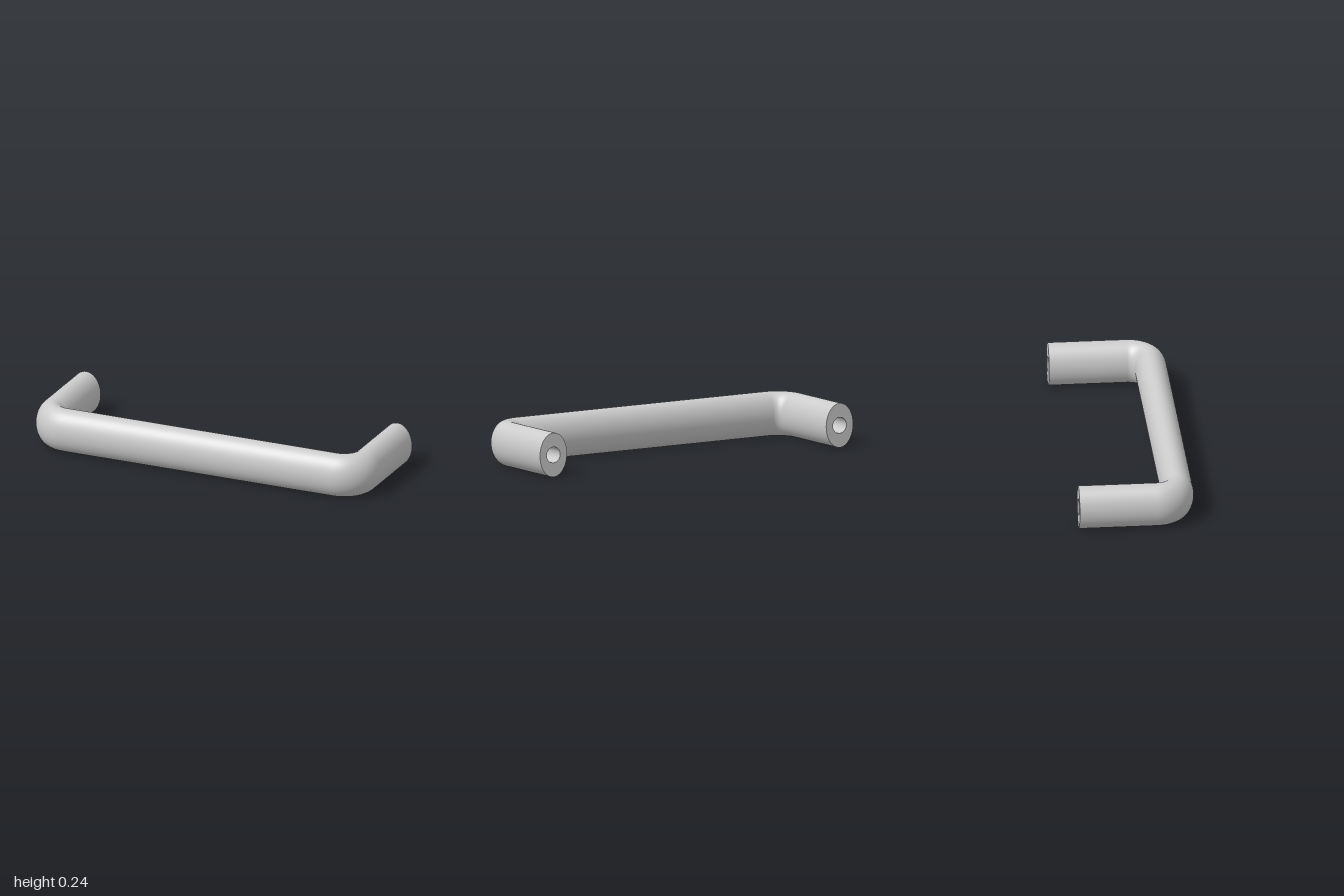
import * as THREE from 'three';

const RX = 0.086, RY = 0.12;         // half width and half height of the oval section
const LEG_X = 1 - RX;                // leg centreline
const BACK = -0.315, FRONT = 0.315;  // depth limits
const BEND = 0.123;                  // bend radius at the centreline
const BEND_X = LEG_X - BEND, BEND_Z = FRONT - RX - BEND;
const BORE_R = 0.043, BORE_DEPTH = 0.3;
const SIDES = 64;

export function createModel() {
  const group = new THREE.Group();
  const grey = new THREE.MeshStandardMaterial({ color: 0xcccccc });
  const inside = new THREE.MeshStandardMaterial({ color: 0xcccccc, side: THREE.BackSide });

  const add = (name, geometry, x, z, material = grey) => {
    const mesh = new THREE.Mesh(geometry, material);
    mesh.name = name;
    mesh.position.set(x, RY, z);
    group.add(mesh);
  };
  // Open round tube along z
  const tube = (radius, length) =>
    new THREE.CylinderGeometry(radius, radius, length, SIDES, 1, true).rotateX(Math.PI / 2);
  // Stretch a round section into the upright oval
  const oval = (geometry) => geometry.scale(1, RY / RX, 1);

  // Straight grip across the front
  add('gripBar', oval(tube(RX, 2 * BEND_X).rotateY(Math.PI / 2)), 0, FRONT - RX);

  // Flat oval leg end with a round screw hole, facing back
  const endShape = new THREE.Shape().absellipse(0, 0, RX, RY, 0, Math.PI * 2);
  endShape.holes.push(new THREE.Path().absarc(0, 0, BORE_R, 0, Math.PI * 2, true));

  for (const [side, s] of [['left', 1], ['right', -1]]) {
    const legLength = BEND_Z - BACK;
    add(side + 'Leg', oval(tube(RX, legLength)), s * LEG_X, (BACK + BEND_Z) / 2);

    // Quarter bend from the leg into the grip
    const bend = new THREE.TorusGeometry(BEND, RX, SIDES, 32, Math.PI / 2).rotateX(Math.PI / 2);
    if (s < 0) bend.rotateY(-Math.PI / 2);
    add(side + 'Bend', oval(bend), s * BEND_X, BEND_Z);

    add(side + 'EndFace', new THREE.ShapeGeometry(endShape, SIDES / 2).rotateY(Math.PI), s * LEG_X, BACK);

    // Blind screw hole
    add(side + 'ScrewHole', tube(BORE_R, BORE_DEPTH), s * LEG_X, BACK + BORE_DEPTH / 2, inside);
    add(side + 'HoleBottom', new THREE.CircleGeometry(BORE_R, SIDES).rotateY(Math.PI), s * LEG_X, BACK + BORE_DEPTH);
  }
  return group;
}
